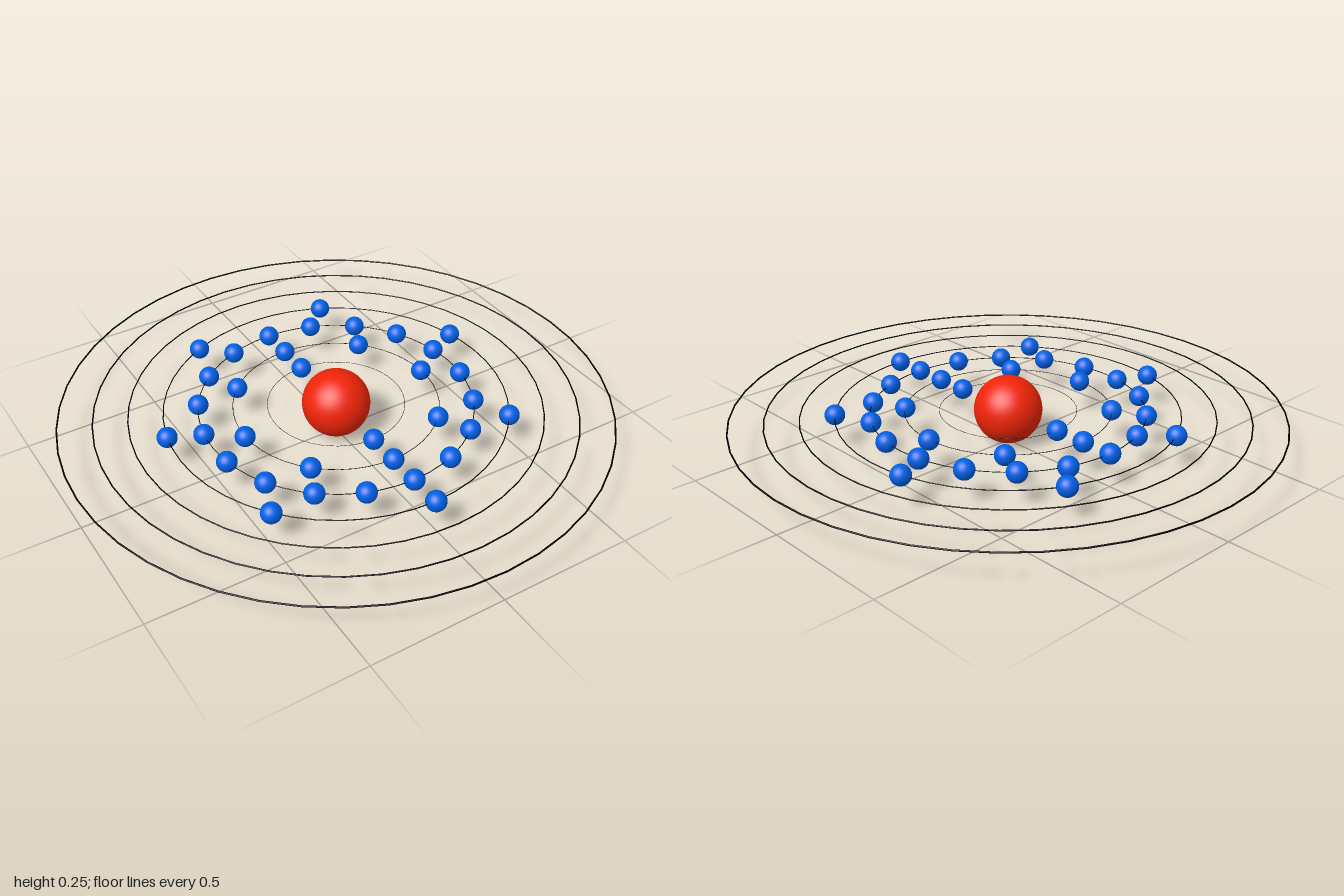
import * as THREE from 'three';

export function createModel() {
  const model = new THREE.Group();
  const centreY = 0.124;
  const red = new THREE.MeshStandardMaterial({ color: 0xf02408 });
  const blue = new THREE.MeshStandardMaterial({ color: 0x0060e6 });
  const black = new THREE.MeshStandardMaterial({ color: 0x000000 });

  const add = (parent, name, geometry, material, x = 0, z = 0) => {
    const mesh = new THREE.Mesh(geometry, material);
    mesh.name = name;
    mesh.position.set(x, centreY, z);
    parent.add(mesh);
  };

  // Nucleus
  add(model, 'nucleus', new THREE.SphereGeometry(0.124, 48, 32), red);

  // Seven evenly spaced orbits; the inner four carry electrons, starting at +z
  const electronCounts = [2, 8, 18, 7, 0, 0, 0];
  const electronGeometry = new THREE.SphereGeometry(0.037, 32, 16);
  electronCounts.forEach((count, i) => {
    const shell = new THREE.Group();
    shell.name = `shell${i + 1}`;
    const radius = 0.249 + i * 0.1247;

    // The wire grows thicker in proportion to the orbit
    const ring = new THREE.TorusGeometry(radius, radius * 0.003, 8, 48);
    ring.rotateX(Math.PI / 2);
    add(shell, 'orbitRing', ring, black);

    for (let k = 0; k < count; k++) {
      const a = (k / count) * Math.PI * 2;
      add(shell, 'electron', electronGeometry, blue, radius * Math.sin(a), radius * Math.cos(a));
    }
    model.add(shell);
  });

  return model;
}
